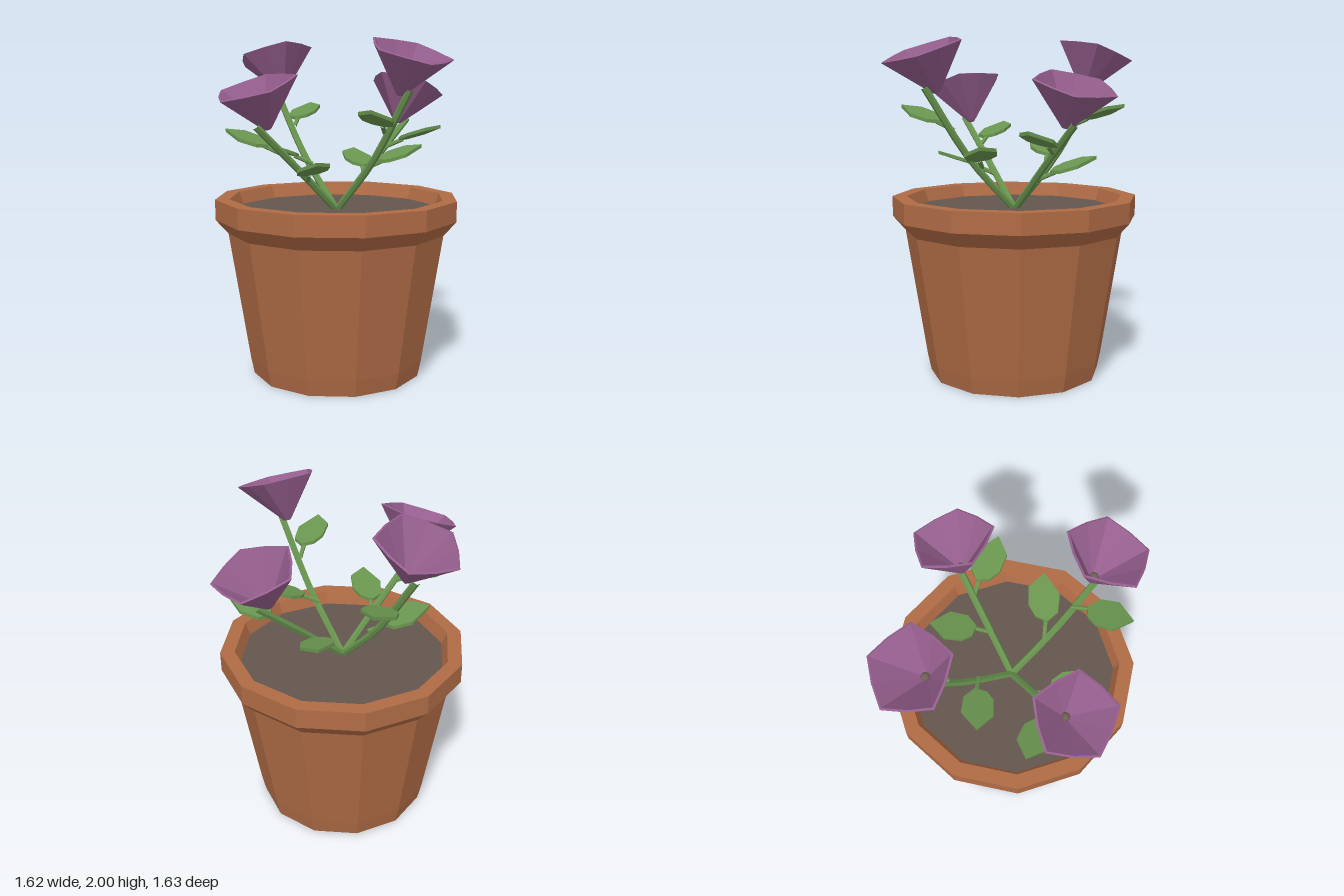
import * as THREE from 'three';

const paint = (name, color) => {
  const m = new THREE.MeshStandardMaterial({ color });
  m.name = name;
  return m;
};

// Faceted mesh: unshared vertices give flat normals
function part(name, geometry, material) {
  const g = geometry.index ? geometry.toNonIndexed() : geometry;
  g.computeVertexNormals();
  const mesh = new THREE.Mesh(g, material);
  mesh.name = name;
  return mesh;
}

const lathe = (profile, sides, start = 0) =>
  new THREE.LatheGeometry(profile.map(p => new THREE.Vector2(...p)), sides, start);

// Five-cornered funnel with slightly bulging sides, one corner towards -x
function blossomGeometry() {
  const sides = 10;
  const profile = [[0, 0], [0.022, 0], [0.243, 0.25], [0.23, 0.255], [0.018, 0.02], [0, 0.02]];
  const g = lathe(profile, sides, -Math.PI / 2);
  const p = g.attributes.position;
  for (let i = 0; i < p.count; i++) {
    const column = Math.floor(i / profile.length);
    if (column % 2) p.setXYZ(i, p.getX(i) * 0.86, p.getY(i), p.getZ(i) * 0.86);
  }
  return g;
}

// Slanted leaf plate; side is +1 or -1
function leafGeometry(side) {
  const outline = [[0.06, 0.06], [0.12, 0.015], [0.19, 0.015], [0.275, 0.07], [0.295, 0.19], [0.15, 0.205], [0.07, 0.14]];
  const shape = new THREE.Shape(outline.map(([x, z]) => new THREE.Vector2(side * x, -z)));
  const g = new THREE.ExtrudeGeometry(shape, { depth: 0.02, bevelEnabled: false });
  g.rotateX(-Math.PI / 2);
  const p = g.attributes.position;
  for (let i = 0; i < p.count; i++) {
    p.setY(i, p.getY(i) + 0.015 + 0.33 * Math.abs(p.getX(i)) + 0.06 * p.getZ(i));
  }
  return g;
}

const tube = (points, radius, segments) => new THREE.TubeGeometry(
  new THREE.CatmullRomCurve3(points.map(p => new THREE.Vector3(...p))), segments, radius, 6, false);

export function createModel() {
  const terracotta = paint('terracotta', 0xaf6b45);
  const soilBrown = paint('soil brown', 0x63564d);
  const green = paint('leaf green', 0x69954f);
  const purple = paint('petal purple', 0x955e8d);
  const centreBrown = paint('flower centre brown', 0x6f5e56);

  const model = new THREE.Group();
  model.name = 'pottedFlowers';

  // Twelve-sided pot with a heavy rim
  model.add(part('pot', lathe([
    [0, 0], [0.512, 0], [0.533, 0.1], [0.655, 0.87], [0.73, 0.955],
    [0.73, 1.075], [0.645, 1.075], [0.605, 0.97],
  ], 12), terracotta));

  // Soil
  const soil = part('soil', new THREE.CircleGeometry(0.615, 12).rotateX(-Math.PI / 2), soilBrown);
  soil.position.y = 1.0;
  model.add(soil);

  // Four plants: the front and back pair is taller than the side pair
  const tall = { path: [[0, 0.99, 0], [0, 1.31, 0.31], [0, 1.72, 0.595]], leafY: [1.255, 1.475], flowerY: 1.69 };
  const low = { path: [[0, 0.99, 0], [0, 1.26, 0.3], [0, 1.52, 0.6]], leafY: [1.185, 1.35], flowerY: 1.5 };
  const blossom = blossomGeometry();

  for (let k = 0; k < 4; k++) {
    const kind = k % 2 ? low : tall;
    const angle = k * Math.PI / 2;
    const out = new THREE.Vector3(Math.sin(angle), 0, Math.cos(angle));

    const plant = new THREE.Group();
    plant.name = 'plant';
    plant.rotation.y = angle;
    plant.add(part('stem', tube(kind.path, 0.021, 8), green));

    // Lower leaf on one side, upper leaf on the other
    kind.leafY.forEach((y, i) => {
      const side = i ? -1 : 1;
      const leaf = new THREE.Group();
      leaf.name = i ? 'upperLeaf' : 'lowerLeaf';
      leaf.position.set(0, y, i ? 0.405 : 0.225);
      leaf.add(part('leafBlade', leafGeometry(side), green));
      leaf.add(part('leafStalk', tube([[0, 0, 0], [side * 0.09, 0.05, 0.07]], 0.013, 1), green));
      plant.add(leaf);
    });
    model.add(plant);

    // Blossom leaning outward
    const flower = new THREE.Group();
    flower.name = 'flower';
    flower.position.copy(out).multiplyScalar(0.515).setY(kind.flowerY);
    flower.quaternion.setFromAxisAngle(new THREE.Vector3(0, 1, 0).cross(out), 0.34);
    flower.add(part('petals', blossom, purple));
    const centre = part('flowerCentre', new THREE.IcosahedronGeometry(0.025, 1), centreBrown);
    centre.position.y = 0.035;
    flower.add(centre);
    model.add(flower);
  }

  model.position.x = 0.012;
  const root = new THREE.Group();
  root.name = 'flowerPot';
  root.add(model);
  return root;
}
